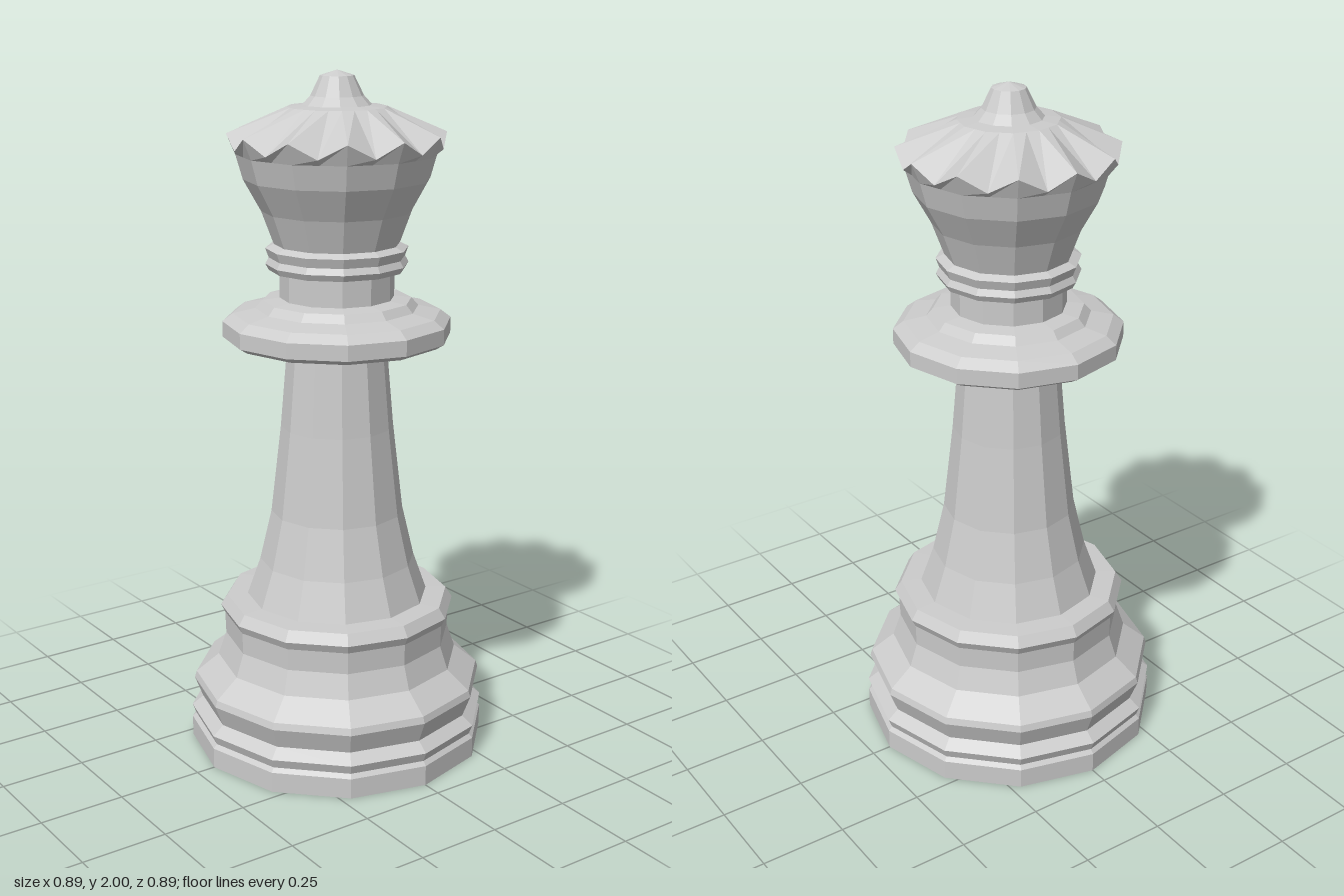
import * as THREE from 'three';

const SIDES = 12;

export function createModel() {
  const model = new THREE.Group();
  const material = new THREE.MeshStandardMaterial({ color: 0xcccccc, flatShading: true });

  const add = (name, geometry) => {
    const mesh = new THREE.Mesh(geometry, material);
    mesh.name = name;
    model.add(mesh);
  };
  // Twelve-sided turned part from [radius, height] pairs, bottom to top
  const turned = (name, profile) =>
    add(name, new THREE.LatheGeometry(profile.map(([r, y]) => new THREE.Vector2(r, y)), SIDES));

  // Stepped foot
  turned('base', [
    [0, 0], [0.443, 0], [0.443, 0.06], [0.432, 0.072], [0.443, 0.1], [0.41, 0.127],
    [0.434, 0.19], [0.428, 0.21], [0.36, 0.265], [0.336, 0.335], [0.338, 0.4],
    [0.35, 0.425], [0.33, 0.456], [0.25, 0.46],
  ]);

  // Tapering stem
  turned('stem', [
    [0.27, 0.456], [0.23, 0.57], [0.195, 0.72], [0.165, 0.98], [0.143, 1.24],
  ]);

  // Wide collar with a stepped top
  turned('collar', [
    [0.13, 1.235], [0.305, 1.235], [0.33, 1.25], [0.33, 1.295], [0.3, 1.318],
    [0.235, 1.332], [0.215, 1.355], [0.16, 1.362],
  ]);

  // Neck and the ring above it
  turned('neck', [[0.165, 1.35], [0.165, 1.445]]);
  turned('neckRing', [
    [0.16, 1.44], [0.195, 1.442], [0.205, 1.46], [0.195, 1.478], [0.205, 1.505], [0.18, 1.517],
  ]);

  // Flared cup of the crown
  turned('crownCup', [
    [0.178, 1.51], [0.215, 1.61], [0.265, 1.7], [0.285, 1.77],
  ]);

  add('crownPoints', crownGeometry());

  // Finial
  turned('finial', [
    [0.142, 1.9], [0.098, 1.905], [0.075, 1.93], [0.048, 1.985], [0, 2],
  ]);

  return model;
}

// Rim and pleated top: ridges at the corners, valleys halfway between them
function crownGeometry() {
  const n = SIDES * 2;
  // [corner radius, ridge height, valley height]
  const rings = [[0.285, 1.77, 1.77], [0.31, 1.828, 1.787], [0.142, 1.9, 1.9]];
  const positions = [];
  const index = [];
  rings.forEach(([radius, ridge, valley], k) => {
    for (let i = 0; i < n; i++) {
      const a = (i / n) * Math.PI * 2;
      const odd = i % 2 === 1;
      const r = odd ? radius * Math.cos(Math.PI / SIDES) : radius;
      positions.push(r * Math.sin(a), odd ? valley : ridge, r * Math.cos(a));
      if (k > 0) {
        const j = (i + 1) % n;
        const lo = (k - 1) * n;
        const hi = k * n;
        index.push(lo + i, lo + j, hi + j, lo + i, hi + j, hi + i);
      }
    }
  });
  const geometry = new THREE.BufferGeometry();
  geometry.setAttribute('position', new THREE.Float32BufferAttribute(positions, 3));
  geometry.setIndex(index);
  geometry.computeVertexNormals();
  return geometry;
}
